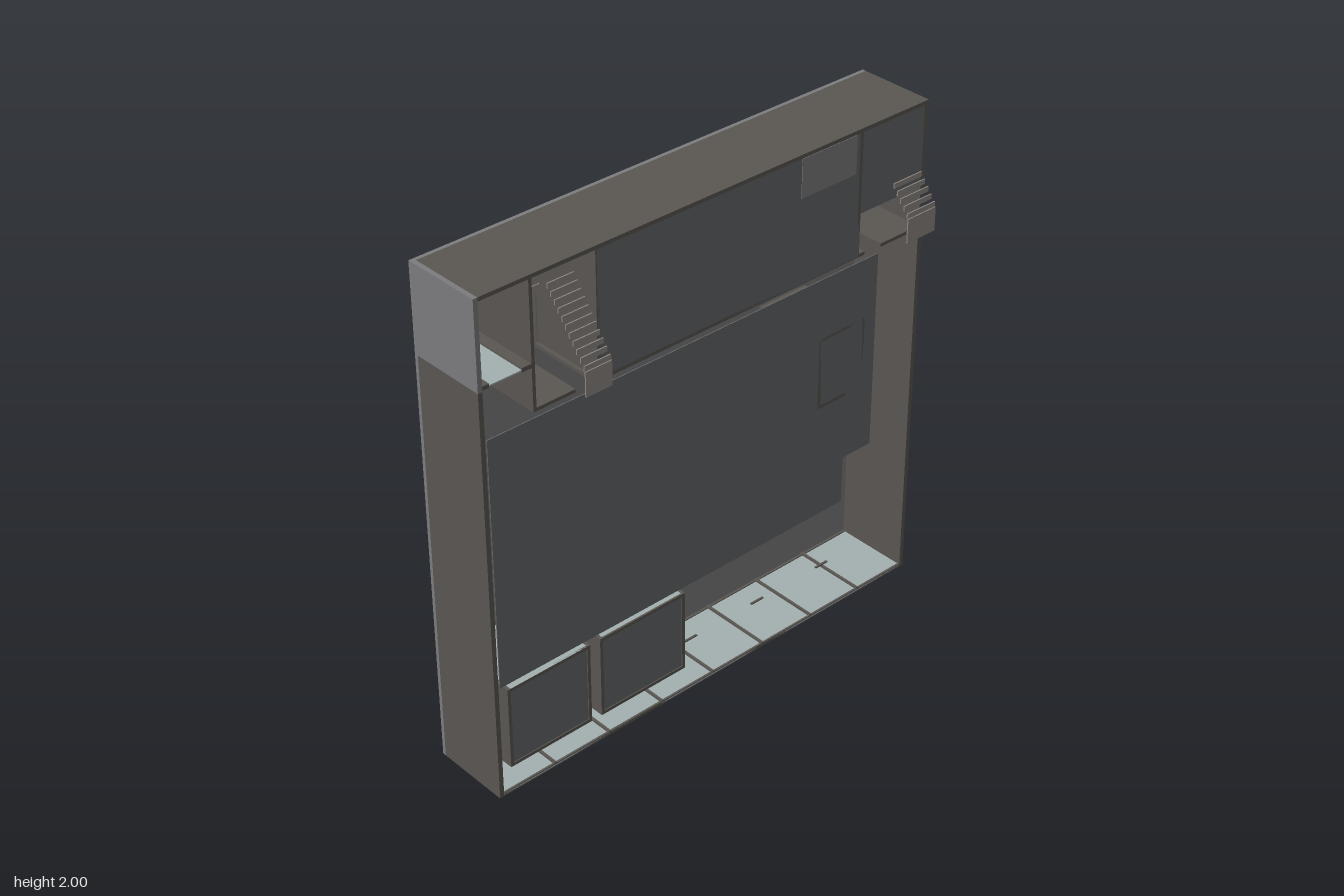
import * as THREE from 'three';

const material = (color) => new THREE.MeshStandardMaterial({ color, flatShading: true, side: THREE.DoubleSide });
const wallMat = material(0x5a5652);
const upperMat = material(0x7c7c7e);
const floorMat = material(0x7c7d7f);
const ceilingMat = material(0x646668);
const stairMat = material(0x8c8882);
const glassMat = material(0xa4b0b0);

const BACK = -0.2, FLOOR = -0.185, TOP = 0.12; // depth levels of the open-faced building
const T = 0.013; // wall thickness

export function createModel() {
  const model = new THREE.Group();

  // Box given by its two extreme corners
  function block(parent, name, mat, x0, x1, y0, y1, z0 = FLOOR, z1 = TOP) {
    const mesh = new THREE.Mesh(new THREE.BoxGeometry(x1 - x0, y1 - y0, z1 - z0), mat);
    mesh.position.set((x0 + x1) / 2, (y0 + y1) / 2, (z0 + z1) / 2);
    mesh.name = name;
    parent.add(mesh);
    return mesh;
  }
  function group(name) {
    const g = new THREE.Group();
    g.name = name;
    model.add(g);
    return g;
  }

  // Base slab and outer shell
  const shell = group('outerShell');
  block(shell, 'floorSlab', floorMat, -1, 1, 0, 2, BACK, FLOOR);
  block(shell, 'leftWall', wallMat, 1 - 0.018, 1, 0, 2);
  block(shell, 'rightWallLower', wallMat, -1, -0.982, 0, 1.66);
  block(shell, 'rightWallUpper', upperMat, -1, -0.982, 1.66, 2);
  block(shell, 'endWall', wallMat, -0.982, 0.982, 1.985, 2);

  // Glazed side with mullions and thin rails
  const glazing = group('glazedWall');
  for (let i = 0; i < 8; i++) {
    const x = -1 + i * 0.25;
    block(glazing, 'glassPane', glassMat, Math.max(x, -0.982), Math.min(x + 0.25, 0.982), 0.004, 0.01);
    if (i > 0) block(glazing, 'mullion', wallMat, x - 0.005, x + 0.005, 0, 0.018);
  }
  block(glazing, 'lowerRail', wallMat, -0.982, 0.982, 0, 0.014, FLOOR, FLOOR + 0.01);
  block(glazing, 'upperRail', wallMat, -0.982, 0.982, 0, 0.014, TOP - 0.008, TOP);

  // Thin ceiling sheets
  const ceilings = group('ceilings');
  const sheet = (name, x0, x1, y0, y1, mat = ceilingMat, z = TOP) =>
    block(ceilings, name, mat, x0, x1, y0, y1, z - 0.004, z);
  sheet('mainCeiling', -0.975, 0.64, 0.475, 1.475);
  sheet('sideCeiling', 0.64, 0.78, 0.67, 1.475);
  sheet('roomCeiling', -0.51, 0.68, 1.5, 1.985);
  sheet('stairCeiling', 0.68, 0.982, 1.67, 1.985);
  sheet('ceilingPatch', 0.39, 0.65, 1.835, 1.985, upperMat, TOP + 0.002);

  // Free-standing rooms: four walls, glass on the upper side
  function room(name, x0, x1, y0, y1, topMat, lid) {
    const g = group(name);
    block(g, 'sideWall', wallMat, x0, x0 + T, y0, y1);
    block(g, 'sideWall', wallMat, x1 - T, x1, y0, y1);
    block(g, 'lowerWall', wallMat, x0 + T, x1 - T, y0, y0 + T);
    block(g, 'upperWall', topMat, x0 + T, x1 - T, y1 - T, y1);
    if (lid) {
      block(g, 'roomLid', ceilingMat, x0 + T, x1 - T, y0 + T, y1 - T, TOP - 0.01, TOP - 0.004);
      block(g, 'upperRail', wallMat, x0, x1, y1 - T, y1, TOP - 0.006, TOP + 0.001);
    }
  }
  room('cornerOffice', -0.945, -0.58, 0.11, 0.45, glassMat, true);
  room('meetingRoom', -0.535, -0.14, 0.11, 0.45, glassMat, true);
  room('serviceCore', 0.5, 0.725, 0.94, 1.235, wallMat, false);

  // Corridor wall with door gaps, partitions and the corner room
  const partitions = group('partitions');
  for (const [x0, x1] of [[-0.785, -0.61], [-0.53, 0.71], [0.79, 0.982]]) {
    block(partitions, 'corridorWall', wallMat, x0, x1, 1.497, 1.51);
  }
  block(partitions, 'stairWall', wallMat, -0.785, -0.772, 1.51, 1.985);
  block(partitions, 'stairWall', wallMat, -0.515, -0.502, 1.51, 1.985);
  block(partitions, 'stairWall', wallMat, 0.668, 0.681, 1.51, 1.985);
  for (const x of [-0.27, -0.04, 0.17, 0.38]) {
    block(partitions, 'roomDivider', wallMat, x - T / 2, x + T / 2, 1.66, 1.985, FLOOR, TOP - 0.004);
  }
  block(partitions, 'cornerRoomStub', wallMat, -0.982, -0.955, 1.664, 1.68);
  block(partitions, 'cornerRoomStub', wallMat, -0.825, -0.785, 1.664, 1.68);
  block(partitions, 'cornerRoomGlass', glassMat, -0.955, -0.825, 1.669, 1.674);

  // Small markers hung in the open hall
  for (const x of [-0.11, 0.22, 0.55]) {
    block(model, 'hallMarker', wallMat, x - 0.03, x + 0.03, 0.223, 0.228, TOP - 0.008, TOP);
  }

  // U-shaped stairs with floating treads rising from the floor towards +z
  function stairs(name, x0, xa, xb, x1) {
    const g = group(name);
    const steps = 11, run = 0.0228, rise = 0.0173, thick = 0.005;
    const slab = (part, a, b, y0, y1, z) => block(g, part, stairMat, a, b, y0, y1, z - thick, z);
    slab('stairFloor', x0, x1, 1.51, 1.985, FLOOR + 0.004);
    for (let i = 0; i < steps; i++) {
      const y = 1.62 + i * run;
      slab('lowerTread', x0, xa, y, y + run - 0.003, FLOOR + (i + 1) * rise);
      slab('upperTread', xb, x1, y, y + run - 0.003, FLOOR + (2 * steps - i) * rise);
    }
    slab('halfLanding', x0, x1, 1.62 + steps * run, 1.985, FLOOR + steps * rise);
    slab('topLanding', xb, x1, 1.525, 1.62, 0.2);
  }
  stairs('rightStairs', -0.768, -0.65, -0.633, -0.522);
  stairs('leftStairs', 0.685, 0.825, 0.84, 0.978);

  return model;
}
